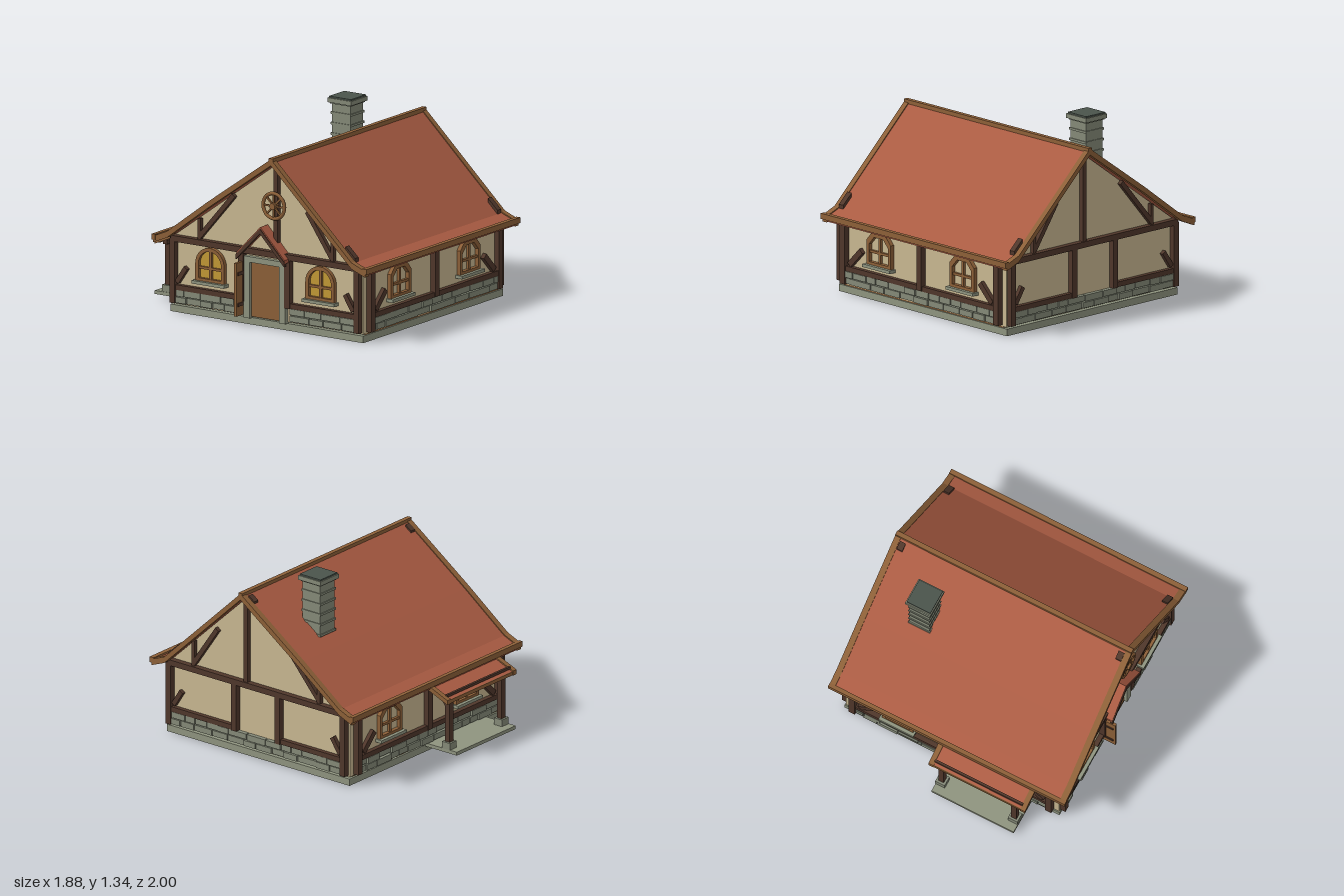
import * as THREE from 'three';

const mat = (name, color, side = THREE.FrontSide) => {
  const m = new THREE.MeshStandardMaterial({ color, side });
  m.name = name;
  return m;
};

export function createModel() {
  const M = {
    tile: mat('roof tile', 0xab5c43),
    wall: mat('plaster', 0xc9b891),
    timber: mat('dark timber', 0x50372b),
    wood: mat('trim wood', 0x8d6038),
    stone: mat('wall stone', 0x858a78),
    slab: mat('pale stone', 0x8f947f),
    cap: mat('chimney cap', 0x4b544c),
    glass: mat('amber glass', 0xc39a35),
  };
  const house = new THREE.Group();
  house.name = 'cottage';
  const CX = 0.01, CZ = 0.095, HW = 0.835, HD = 0.81;
  let seed = 7;
  const rnd = () => (seed = (seed * 16807) % 2147483647) / 2147483647;

  const add = (parent, name, geo, m) => {
    const mesh = new THREE.Mesh(geo, m);
    mesh.name = name;
    parent.add(mesh);
    return mesh;
  };
  // box given by its limits
  const box = (p, name, x0, x1, y0, y1, z0, z1, m) => {
    const b = add(p, name, new THREE.BoxGeometry(x1 - x0, y1 - y0, z1 - z0), m);
    b.position.set((x0 + x1) / 2, (y0 + y1) / 2, (z0 + z1) / 2);
    return b;
  };
  // slanted beam lying in the plane of a wall
  const brace = (p, name, a, b, t, z0, z1, m) => {
    const dx = b[0] - a[0], dy = b[1] - a[1];
    const s = add(p, name, new THREE.BoxGeometry(Math.hypot(dx, dy), t, z1 - z0), m);
    s.position.set((a[0] + b[0]) / 2, (a[1] + b[1]) / 2, (z0 + z1) / 2);
    s.rotation.z = Math.atan2(dy, dx);
  };
  // (z, y) outline extruded along x
  const extrudeX = (p, name, pts, x0, x1, m) => {
    const shape = new THREE.Shape(pts.map(q => new THREE.Vector2(...q)));
    const g = new THREE.ExtrudeGeometry(shape, { depth: x1 - x0, bevelEnabled: false });
    g.rotateY(-Math.PI / 2).translate(x1, 0, 0);
    return add(p, name, g, m);
  };
  // sheet following a (z, y) line, with vertical thickness t
  const sheet = (p, name, line, drop, t, x0, x1, m) => extrudeX(p, name,
    [...line.map(([z, y]) => [z, y - drop]), ...line.map(([z, y]) => [z, y - drop - t]).reverse()], x0, x1, m);

  // foundation and plastered body
  box(house, 'foundation', CX - 0.84, CX + 0.845, 0, 0.05, -0.72, 0.91, M.slab);
  box(house, 'floorEdge', CX - 0.8, CX + 0.8, 0.05, 0.07, -0.705, 0.9, M.wood);
  extrudeX(house, 'walls', [[0.905, 0.06], [0.905, 0.52], [0.87, 0.545], [0.19, 1.18], [-0.69, 0.545],
    [-0.715, 0.52], [-0.715, 0.06]], CX - HW, CX + HW, M.wall);

  // main roof
  const roofLine = [[0.985, 0.54], [0.87, 0.585], [0.57, 0.867], [0.19, 1.225], [-0.34, 0.85], [-0.69, 0.588], [-0.805, 0.54]];
  sheet(house, 'roofTiles', roofLine, 0.008, 0.03, -0.875, 0.895, M.tile);
  sheet(house, 'bargeBoardRight', roofLine, 0, 0.045, -0.917, -0.872, M.wood);
  sheet(house, 'bargeBoardLeft', roofLine, 0, 0.045, 0.892, 0.935, M.wood);
  box(house, 'frontEaveTrim', -0.92, 0.935, 0.515, 0.555, 0.965, 1.0, M.wood);
  box(house, 'backEaveTrim', -0.92, 0.935, 0.515, 0.555, -0.815, -0.785, M.wood);
  box(house, 'ridgeBeam', -0.917, 0.935, 1.195, 1.23, 0.173, 0.207, M.wood);
  for (const x of [-0.85, 0.865]) {
    sheet(house, 'eaveCleat', [[0.87, 0.605], [0.79, 0.68]], 0, 0.04, x - 0.022, x + 0.022, M.timber);
    sheet(house, 'ridgeCleat', [[0.155, 1.207], [0.105, 1.172]], 0, 0.03, x - 0.022, x + 0.022, M.timber);
  }

  // chimney with projecting courses
  const chimney = new THREE.Group();
  chimney.name = 'chimney';
  chimney.position.set(0.52, 0, -0.17);
  house.add(chimney);
  box(chimney, 'shaft', -0.078, 0.078, 0.85, 1.3, -0.078, 0.078, M.stone);
  for (const y of [0.92, 1.0, 1.075, 1.15, 1.225])
    box(chimney, 'course', -0.085, 0.085, y - 0.008, y + 0.008, -0.085, 0.085, M.stone);
  box(chimney, 'collar', -0.087, 0.087, 1.29, 1.305, -0.087, 0.087, M.stone);
  box(chimney, 'crown', -0.1, 0.1, 1.3, 1.332, -0.1, 0.1, M.stone);
  box(chimney, 'cap', -0.092, 0.092, 1.332, 1.343, -0.092, 0.092, M.cap);

  // one group per wall: x along the wall, z outwards
  const wallGroup = (name, turn) => {
    const g = new THREE.Group();
    g.name = name;
    g.position.set(CX, 0, CZ);
    g.rotation.y = turn;
    house.add(g);
    return g;
  };
  // two staggered rows of uneven stones
  const stones = (g, u0, u1, w) => {
    for (let row = 0; row < 2; row++) {
      const y = 0.07 + row * 0.049;
      for (let u = u0; u < u1 - 0.01;) {
        let e = u + 0.085 + rnd() * 0.085;
        if (e > u1 - 0.05) e = u1;
        box(g, 'stone', u + 0.003, e - 0.003, y + rnd() * 0.005, y + 0.045, w - 0.01, w + 0.022 + rnd() * 0.014, M.stone);
        u = e;
      }
    }
  };
  const windowShape = (hw, y0, y1, arched) => {
    const s = new THREE.Shape();
    s.moveTo(-hw, y0).lineTo(hw, y0);
    if (arched) s.lineTo(hw, y1 - hw).absarc(0, y1 - hw, hw, 0, Math.PI, false);
    else s.lineTo(hw, y1 - 0.055).lineTo(hw - 0.05, y1).lineTo(-hw + 0.05, y1).lineTo(-hw, y1 - 0.055);
    return s;
  };
  const addWindow = (g, u, w, arched) => {
    const win = new THREE.Group();
    win.name = arched ? 'archedWindow' : 'window';
    win.position.set(u, 0, w);
    g.add(win);
    const hw = 0.122, y0 = 0.258, y1 = arched ? 0.5 : 0.485, t = 0.026;
    const s = windowShape(hw, y0, y1, arched);
    const inner = windowShape(hw - t, y0 + t - 0.006, y1 - t, arched);
    s.holes.push(new THREE.Path(inner.getPoints(10)));
    add(win, 'windowFrame', new THREE.ExtrudeGeometry(s, { depth: 0.03, bevelEnabled: false, curveSegments: 10 }), M.wood);
    if (arched) add(win, 'glass', new THREE.ShapeGeometry(inner, 10), M.glass).position.z = 0.006;
    box(win, 'mullion', -0.01, 0.01, y0 + 0.01, y1 - 0.01, 0.002, 0.022, M.wood);
    box(win, 'glazingBar', -hw + 0.01, hw - 0.01, 0.342, 0.36, 0.002, 0.022, M.wood);
    box(win, 'windowSill', -0.137, 0.137, 0.236, 0.258, -0.005, 0.055, M.slab);
  };

  // front and back walls
  for (const [name, turn] of [['frontWall', 0], ['backWall', Math.PI]]) {
    const g = wallGroup(name, turn), w = HD;
    stones(g, -0.795, 0.795, w);
    for (const u of [-0.77, 0, 0.77])
      box(g, 'post', u - 0.024, u + 0.024, u ? 0.07 : 0.17, 0.535, w - 0.01, w + 0.042, M.timber);
    box(g, 'sillBeam', -0.75, 0.75, 0.166, 0.202, w - 0.01, w + 0.034, M.timber);
    box(g, 'wallPlate', -0.79, 0.79, 0.51, 0.535, w - 0.01, w + 0.034, M.timber);
    for (const s of [-1, 1]) {
      brace(g, 'cornerBrace', [s * 0.715, 0.215], [s * 0.595, 0.335], 0.042, w - 0.01, w + 0.03, M.timber);
      addWindow(g, s * 0.417, w, false);
    }
  }

  // gable walls
  for (const s of [1, -1]) {
    const g = wallGroup(s > 0 ? 'leftGable' : 'rightGable', s * Math.PI / 2), w = HW;
    const u = z => -s * (z - CZ);
    if (s > 0) stones(g, -0.785, 0.785, w);
    else { stones(g, -0.785, -0.21, w); stones(g, 0.21, 0.785, w); }
    for (const z of [0.875, 0.29, -0.1, -0.68])
      box(g, 'post', u(z) - 0.022, u(z) + 0.022, Math.abs(z - CZ) > 0.5 ? 0.07 : 0.165, 0.53, w - 0.01, w + 0.042, M.timber);
    box(g, 'tieBeam', -0.785, 0.785, 0.51, 0.552, w - 0.01, w + 0.044, M.timber);
    box(g, 'kingPost', u(0.19) - 0.017, u(0.19) + 0.017, 0.55, 1.18, w - 0.01, w + 0.034, M.timber);
    for (const d of [-1, 1])
      box(g, 'sillBeam', d * 0.49 - 0.275, d * 0.49 + 0.275, 0.166, 0.202, w - 0.01, w + 0.034, M.timber);
    for (const [a, b, t] of [
      [[0.84, 0.22], [0.77, 0.33], 0.034], [[-0.65, 0.22], [-0.575, 0.33], 0.034],
      [[0.66, 0.57], [0.45, 0.875], 0.034], [[-0.46, 0.57], [-0.17, 0.905], 0.034],
      [[0.663, 0.55], [0.663, 0.74], 0.026], [[-0.46, 0.55], [-0.46, 0.7], 0.026]])
      brace(g, 'gableBrace', [u(a[0]), a[1]], [u(b[0]), b[1]], t, w - 0.01, w + 0.03, M.timber);
    if (s > 0) continue;

    // entrance: stone surround, door, opened leaf and arched windows
    for (const d of [-1, 1]) {
      box(g, 'doorJamb', d * 0.15 - 0.027, d * 0.15 + 0.027, 0.05, 0.47, w - 0.01, w + 0.035, M.slab);
      addWindow(g, d * 0.465, w, true);
    }
    box(g, 'doorLintel', -0.177, 0.177, 0.45, 0.49, w - 0.01, w + 0.035, M.slab);
    box(g, 'door', -0.125, 0.125, 0.06, 0.45, w - 0.01, w + 0.012, M.wood);
    box(g, 'openDoorLeaf', -0.2, -0.18, 0.07, 0.45, w, w + 0.115, M.wood);
    for (const y of [0.15, 0.37])
      box(g, 'hingeStrap', -0.206, -0.174, y - 0.012, y + 0.012, w, w + 0.1, M.timber);

    // spoked wheel on the gable
    const wheel = new THREE.Group();
    wheel.name = 'wheel';
    wheel.position.set(u(0.19), 0.885, w + 0.055);
    g.add(wheel);
    add(wheel, 'rim', new THREE.TorusGeometry(0.09, 0.014, 6, 24), M.wood);
    add(wheel, 'hub', new THREE.CylinderGeometry(0.024, 0.024, 0.045, 10), M.wood).rotation.x = Math.PI / 2;
    for (let i = 0; i < 4; i++)
      add(wheel, 'spoke', new THREE.BoxGeometry(0.17, 0.012, 0.012), M.wood).rotation.z = i * Math.PI / 4;
  }

  // little gabled canopy over the door
  const hood = [[0.305, 0.52], [0.1, 0.73], [-0.105, 0.52]];
  sheet(house, 'canopyTiles', hood, 0, 0.025, -0.915, -0.82, M.tile);
  sheet(house, 'canopyRafters', hood, 0.012, 0.035, -0.922, -0.9, M.timber);

  // back porch
  box(house, 'porchSlab', -0.62, 0.025, 0.04, 0.065, -1.0, -0.7, M.slab);
  for (const x of [-0.58, -0.01]) {
    box(house, 'porchFoot', x - 0.037, x + 0.037, 0.065, 0.115, -0.94, -0.868, M.stone);
    box(house, 'porchPost', x - 0.021, x + 0.021, 0.115, 0.44, -0.925, -0.885, M.timber);
    sheet(house, 'porchBrace', [[-0.825, 0.475], [-0.895, 0.39]], 0, 0.035, x - 0.015, x + 0.015, M.timber);
  }
  box(house, 'porchBeam', -0.63, 0.03, 0.41, 0.44, -0.922, -0.888, M.timber);
  const shed = [[-0.73, 0.54], [-0.945, 0.452]];
  sheet(house, 'porchTiles', shed, 0.006, 0.022, -0.65, 0.04, M.tile);
  for (const x of [-0.665, 0.053])
    sheet(house, 'porchBarge', [[-0.73, 0.543], [-0.955, 0.452]], 0, 0.034, x - 0.019, x + 0.019, M.wood);
  box(house, 'porchEave', -0.65, 0.04, 0.42, 0.446, -0.952, -0.935, M.wood);
  box(house, 'porchBatten', -0.65, 0.04, 0.46, 0.478, -0.93, -0.912, M.timber);

  return house;
}
